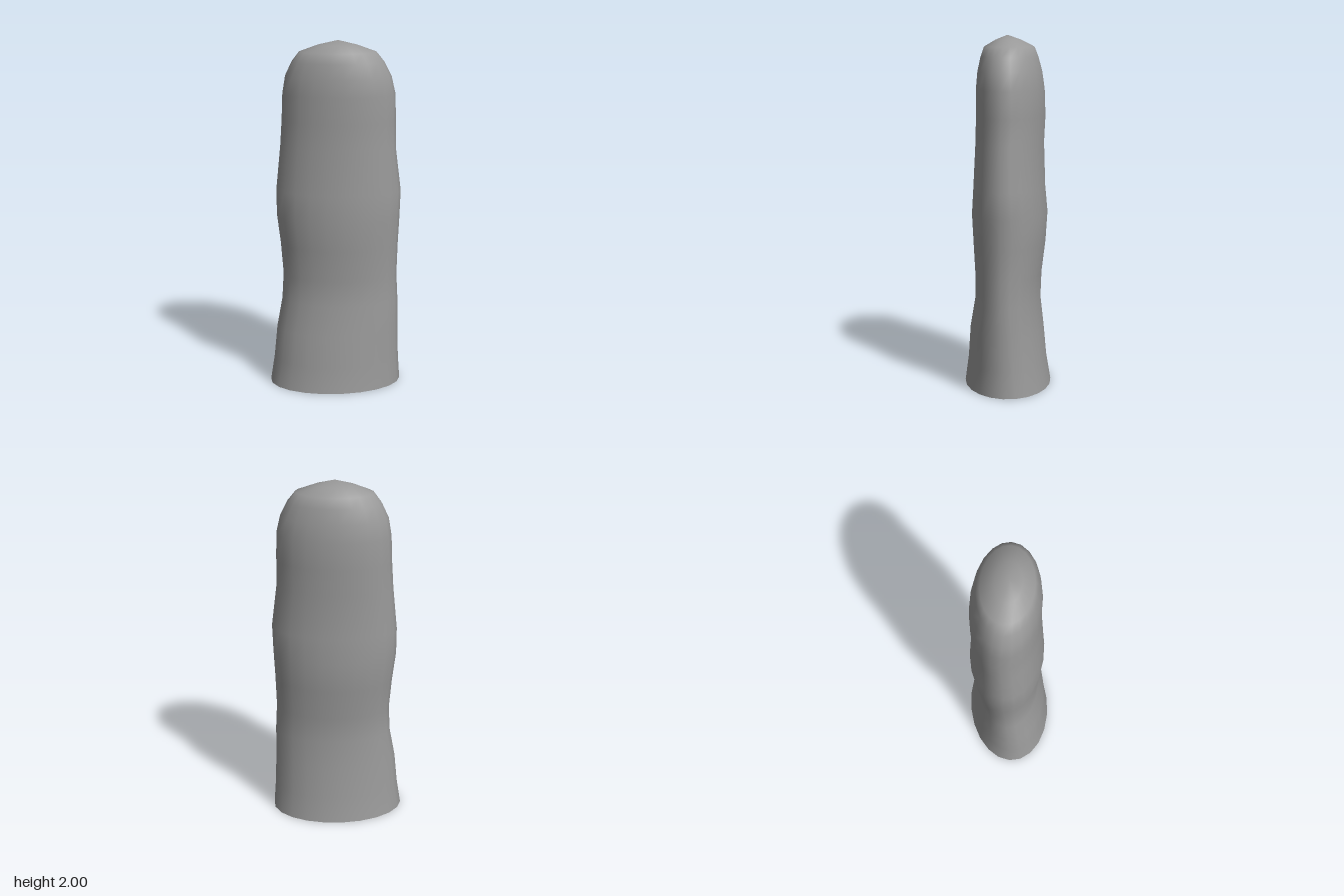
import * as THREE from 'three';

const SIDES = 22;

// Cross-sections from base to tip: [y, xMin, xMax, zMin, zMax, skew]
const SECTIONS = [
  [0, -0.38, 0.38, -0.252, 0.25, 0.09],
  [0.15, -0.357, 0.37, -0.227, 0.228, 0.08],
  [0.33, -0.34, 0.365, -0.21, 0.214, 0.06],
  [0.5, -0.31, 0.363, -0.192, 0.182, 0.04],
  [0.65, -0.302, 0.355, -0.197, 0.18, 0.03],
  [0.83, -0.317, 0.36, -0.218, 0.19, 0.02],
  [1.0, -0.338, 0.368, -0.228, 0.2, 0.02],
  [1.15, -0.339, 0.373, -0.214, 0.19, 0.02],
  [1.4, -0.315, 0.342, -0.205, 0.176, 0],
  [1.55, -0.306, 0.34, -0.213, 0.172, 0],
  [1.7, -0.3, 0.337, -0.208, 0.172, 0],
  [1.8, -0.283, 0.314, -0.193, 0.164, 0],
  [1.88, -0.245, 0.274, -0.172, 0.148, 0],
  [1.935, -0.203, 0.23, -0.15, 0.13, 0],
  [1.973, -0.1, 0.125, -0.077, 0.067, 0],
];

// One slightly skewed oval ring of points
function ring([y, x0, x1, z0, z1, skew]) {
  return Array.from({ length: SIDES }, (_, i) => {
    const a = (i / SIDES) * Math.PI * 2;
    const dx = ((x1 - x0) / 2) * Math.cos(a);
    const dz = ((z1 - z0) / 2) * Math.sin(a);
    return new THREE.Vector3((x0 + x1) / 2 + dx, y, (z0 + z1) / 2 + dz - skew * dx);
  });
}

function meshFrom(name, points, index, material) {
  const geometry = new THREE.BufferGeometry().setFromPoints(points);
  geometry.setIndex(index);
  geometry.computeVertexNormals();
  const mesh = new THREE.Mesh(geometry, material);
  mesh.name = name;
  return mesh;
}

export function createModel() {
  const group = new THREE.Group();
  group.name = 'finger';
  const material = new THREE.MeshStandardMaterial({ color: 0x999999 });

  // Smooth skin lofted through the rings and closed at the tip
  const points = SECTIONS.flatMap(ring);
  const tip = points.length;
  points.push(new THREE.Vector3(0.015, 2, 0));
  const index = [];
  SECTIONS.forEach((_, r) => {
    for (let i = 0; i < SIDES; i++) {
      const a = r * SIDES + i;
      const b = r * SIDES + ((i + 1) % SIDES);
      if (r === SECTIONS.length - 1) index.push(a, tip, b);
      else index.push(a, a + SIDES, b, b, a + SIDES, b + SIDES);
    }
  });
  group.add(meshFrom('fingerSkin', points, index, material));

  // Flat cut face at the base
  const base = ring(SECTIONS[0]);
  base.push(new THREE.Vector3());
  const fan = [];
  for (let i = 0; i < SIDES; i++) fan.push(SIDES, i, (i + 1) % SIDES);
  group.add(meshFrom('baseCap', base, fan, material));

  return group;
}
